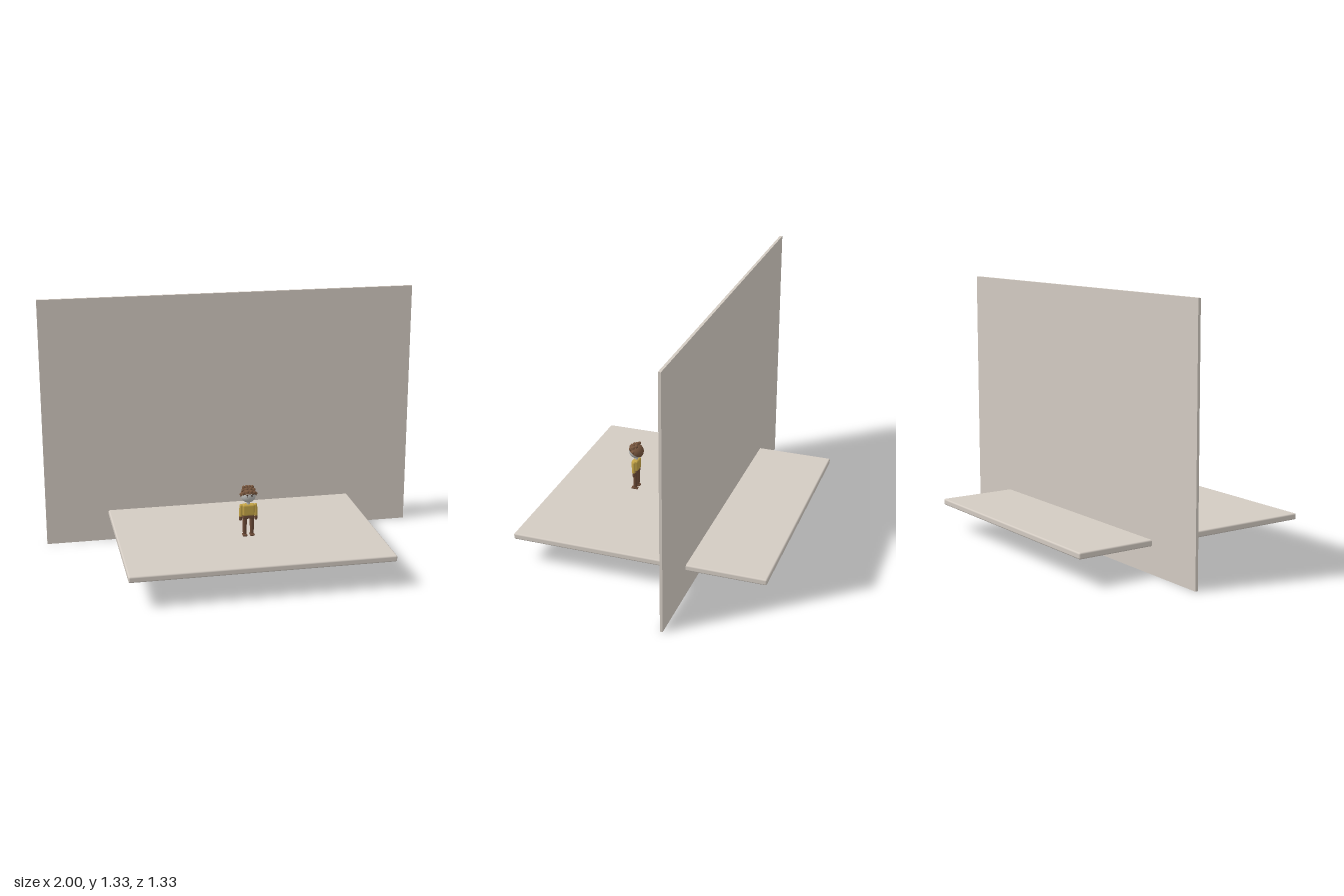
import * as THREE from 'three';
import { RoundedBoxGeometry } from 'three/addons/geometries/RoundedBoxGeometry.js';

const material = (name, color) => Object.assign(new THREE.MeshStandardMaterial({ color }), { name });

export function createModel() {
  const plaster = material('pale plaster', 0xd3cbc2);
  const hairBrown = material('hair brown', 0x76553d);
  const trouserBrown = material('trouser brown', 0x6b4a36);
  const shirtYellow = material('shirt yellow', 0xc4a447);
  const faceGrey = material('face grey', 0xb9b9b6);
  const dark = material('dark brown', 0x35261d);

  const model = new THREE.Group();
  model.name = 'figureOnStage';
  const add = (parent, name, geometry, mat, x = 0, y = 0, z = 0) => {
    const mesh = new THREE.Mesh(geometry, mat);
    mesh.name = name;
    mesh.position.set(x, y, z);
    parent.add(mesh);
    return mesh;
  };
  const ball = (r) => new THREE.SphereGeometry(r, 16, 12);

  // Back wall and stage floor
  add(model, 'wall', new THREE.BoxGeometry(2, 1.333, 0.014), plaster, 0, 0.6665, -0.25);
  add(model, 'floor', new RoundedBoxGeometry(1.332, 0.032, 1.332, 3, 0.008), plaster, 0, 0.153, 0);

  // Figure, standing on the floor
  const figure = new THREE.Group();
  figure.name = 'figure';
  figure.position.set(0, 0.169, 0.25);
  model.add(figure);

  // Torso and hips
  add(figure, 'torso', new RoundedBoxGeometry(0.064, 0.062, 0.036, 3, 0.01), shirtYellow, 0, 0.139, 0);
  add(figure, 'hips', new RoundedBoxGeometry(0.058, 0.022, 0.03, 3, 0.006), trouserBrown, 0, 0.103, 0);
  add(figure, 'neck', new THREE.CylinderGeometry(0.01, 0.01, 0.016, 16), faceGrey, 0, 0.172, 0);

  for (const s of [-1, 1]) {
    // Arm: yellow sleeve and brown hand
    const arm = new THREE.Group();
    arm.name = s > 0 ? 'leftArm' : 'rightArm';
    arm.position.set(s * 0.037, 0.161, 0);
    arm.rotation.z = s * 0.04;
    figure.add(arm);
    add(arm, 'shoulder', ball(0.0095), shirtYellow);
    add(arm, 'sleeve', new THREE.CylinderGeometry(0.0095, 0.009, 0.056, 16), shirtYellow, 0, -0.028, 0);
    add(arm, 'hand', new THREE.CapsuleGeometry(0.008, 0.02, 6, 12), trouserBrown, 0, -0.062, 0);

    // Leg with a flat shoe
    const leg = new THREE.Group();
    leg.name = s > 0 ? 'leftLeg' : 'rightLeg';
    leg.position.x = s * 0.019;
    figure.add(leg);
    add(leg, 'thigh', new THREE.CylinderGeometry(0.0125, 0.011, 0.05, 16), trouserBrown, 0, 0.075, 0);
    add(leg, 'shin', new THREE.CylinderGeometry(0.011, 0.009, 0.046, 16), trouserBrown, 0, 0.028, 0);
    add(leg, 'shoe', new RoundedBoxGeometry(0.023, 0.008, 0.036, 2, 0.003), trouserBrown, 0, 0.004, 0.003);
  }

  // Head: sphere under a tilted hair cap
  const head = new THREE.Group();
  head.name = 'head';
  head.position.y = 0.217;
  figure.add(head);
  add(head, 'face', new THREE.SphereGeometry(0.038, 32, 20), faceGrey);
  const capGeometry = new THREE.SphereGeometry(0.041, 32, 16, 0, Math.PI * 2, 0, 1.68);
  const cap = add(head, 'hairCap', capGeometry, hairBrown);
  cap.rotation.x = -0.56;
  const rim = add(head, 'hairRim', new THREE.RingGeometry(0.0375, 0.0408, 32), hairBrown, 0, -0.0038, 0.0024);
  rim.rotation.x = Math.PI / 2 - 0.56;

  // Curls over the crown and fringe, in rows
  for (const [y, z, r, half] of [[0.043, -0.007, 0.009, 0.022], [0.037, 0.012, 0.009, 0.028], [0.026, 0.027, 0.009, 0.027]]) {
    for (let i = 0; i < 4; i++) {
      const x = half * (i / 1.5 - 1);
      add(head, 'curl', ball(r), hairBrown, x, y - x * x * 9, z - x * x * 8);
    }
  }
  for (const s of [-1, 1]) {
    add(head, 'sideCurl', ball(0.009), hairBrown, s * 0.037, 0.008, 0.004);
    // Brows and eyes
    const brow = add(head, 'brow', new THREE.BoxGeometry(0.014, 0.003, 0.004), dark, s * 0.012, 0.011, 0.0345);
    brow.rotation.set(-0.2, s * 0.3, s * 0.25);
    const eye = add(head, 'eye', ball(0.003), dark, s * 0.012, 0.004, 0.0355);
    eye.scale.z = 0.5;
  }
  return model;
}
